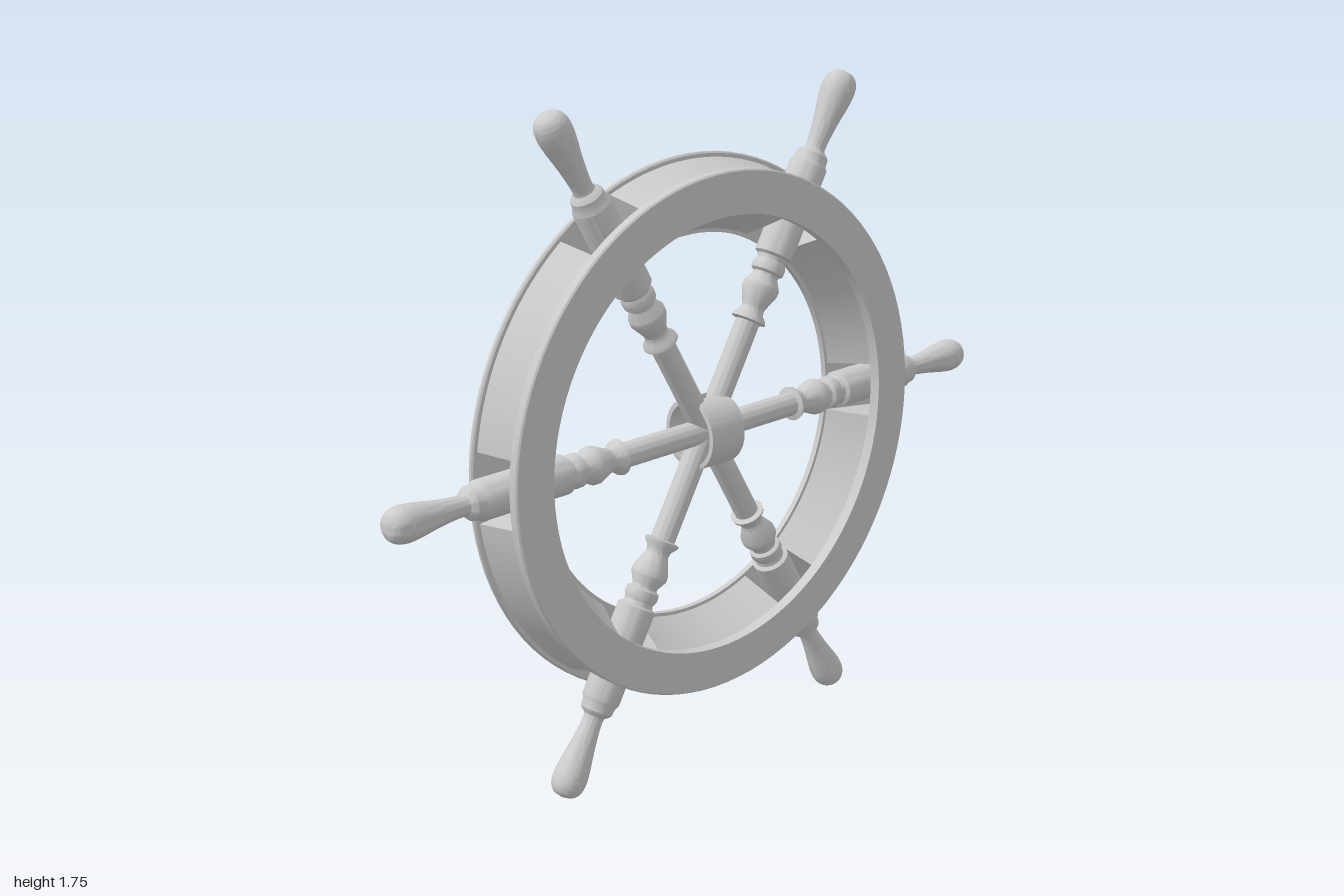
import * as THREE from 'three';
import { toCreasedNormals } from 'three/addons/utils/BufferGeometryUtils.js';

const material = new THREE.MeshStandardMaterial({ color: 0xcccccc });
const doubleSided = new THREE.MeshStandardMaterial({ color: 0xcccccc, side: THREE.DoubleSide });

function part(name, geometry, mat = material) {
  const mesh = new THREE.Mesh(toCreasedNormals(geometry, 0.55), mat);
  mesh.name = name;
  return mesh;
}

// Flat ring around the z axis
function ring(name, inner, outer, back, front) {
  const c = 0.004;
  const profile = [
    [inner, back], [outer - c, back], [outer, back + c], [outer, front - c],
    [outer - c, front], [inner, front], [inner, back],
  ].map(([r, z]) => new THREE.Vector2(r, z));
  return part(name, new THREE.LatheGeometry(profile, 96).rotateX(Math.PI / 2));
}

// Rim block between two spokes, widening inward and outward towards the back
function rimSegment() {
  const half = Math.PI / 6 - 0.13, inner = 0.572, outer = 0.668;
  const back = -0.052, front = 0.057;
  const shape = new THREE.Shape();
  shape.absarc(0, 0, outer, -half, half, false);
  shape.absarc(0, 0, inner, half, -half, true);
  const geometry = new THREE.ExtrudeGeometry(shape, {
    depth: front - back, bevelEnabled: false, curveSegments: 20,
  }).translate(0, 0, back);
  const p = geometry.attributes.position;
  for (let i = 0; i < p.count; i++) {
    const x = p.getX(i), y = p.getY(i), r = Math.hypot(x, y);
    const t = (front - p.getZ(i)) / (front - back);
    const k = (r + t * (r > 0.62 ? 0.026 : -0.06)) / r;
    p.setXY(i, x * k, y * k);
  }
  return geometry;
}

// Turned spoke and handle: [radius, distance from the hub]
function spoke() {
  const turned = [
    [0.032, 0], [0.032, 0.3], [0.046, 0.304], [0.044, 0.312], [0.033, 0.325],
    [0.03, 0.338], [0.034, 0.35], [0.048, 0.385], [0.048, 0.4], [0.034, 0.425],
    [0.034, 0.432], [0.043, 0.438], [0.044, 0.455], [0.038, 0.468], [0.04, 0.478],
    [0.05, 0.484], [0.05, 0.735], [0.044, 0.745], [0.042, 0.765], [0.036, 0.772],
    [0.028, 0.778],
  ].map(([r, d]) => new THREE.Vector2(r, d));
  // Pear-shaped handle with a round end
  const handle = new THREE.SplineCurve([
    [0.026, 0.785], [0.027, 0.81], [0.033, 0.86], [0.042, 0.915], [0.045, 0.948],
    [0.041, 0.974], [0.027, 0.992], [0, 1],
  ].map(([r, d]) => new THREE.Vector2(r, d))).getPoints(28);
  handle[handle.length - 1].x = 0;
  return new THREE.LatheGeometry([...turned, ...handle], 28).rotateZ(-Math.PI / 2);
}

// Curved hub plate with rounded corners
function hubPlate() {
  const geometry = new THREE.BoxGeometry(1, 2, 0.012, 4, 40, 1);
  const p = geometry.attributes.position;
  for (let i = 0; i < p.count; i++) {
    const a = p.getY(i) * 1.4;
    const s = Math.sin(a);
    const corner = Math.min(1, Math.max(0, (Math.abs(s) - 0.72) / 0.265));
    const width = 0.112 - 0.036 * (1 - Math.sqrt(1 - corner * corner));
    const r = p.getZ(i) - 0.006;
    p.setXYZ(i, p.getX(i) * width, s * (0.094 + r), Math.cos(a) * (0.087 + r));
  }
  return geometry;
}

export function createModel() {
  const model = new THREE.Group();
  model.name = 'shipWheel';
  const wheel = new THREE.Group();
  wheel.name = 'wheel';
  wheel.position.set(-0.01, 0.872, 0);
  model.add(wheel);

  // Rim plates
  wheel.add(ring('frontRing', 0.57, 0.682, 0.056, 0.086));
  wheel.add(ring('backRing', 0.504, 0.707, -0.066, -0.05));

  // Six rim blocks and six spokes
  const segmentGeometry = rimSegment(), spokeGeometry = spoke();
  for (let i = 0; i < 6; i++) {
    const angle = i * Math.PI / 3;
    const segment = part('rimSegment', segmentGeometry);
    segment.rotation.z = angle + Math.PI / 6;
    wheel.add(segment);

    const arm = part('spoke', spokeGeometry, doubleSided);
    arm.rotation.z = angle;
    if (i % 3 === 0) {
      // The level pair sits slightly off centre and tilted
      arm.position.x = 0.01;
      arm.rotation.z += 0.01;
    }
    wheel.add(arm);
  }

  // Hub plates, front and back
  const plateGeometry = hubPlate();
  for (const turn of [0, Math.PI]) {
    const plate = part('hubPlate', plateGeometry, doubleSided);
    plate.rotation.y = turn;
    wheel.add(plate);
  }
  return model;
}
